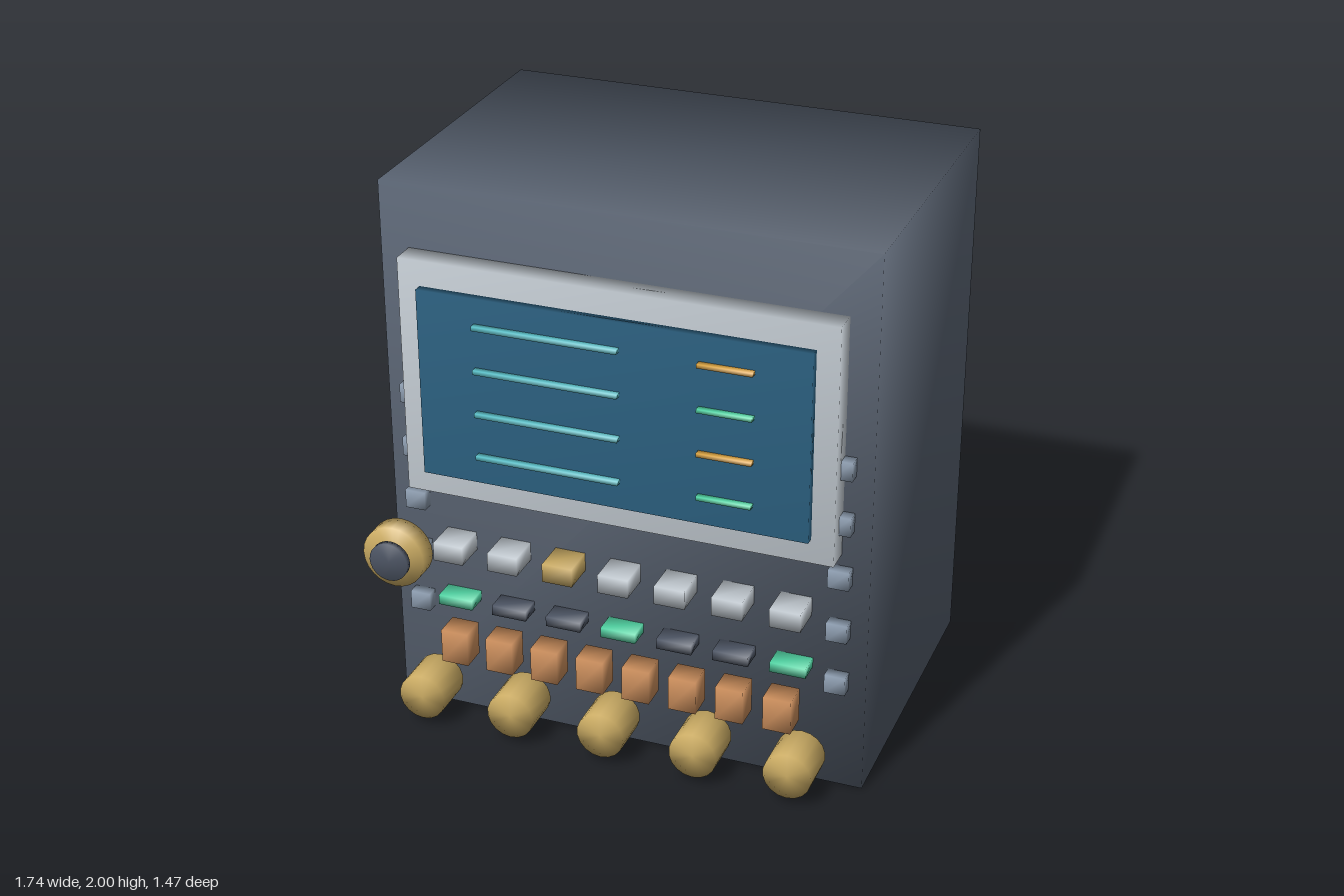
import * as THREE from 'three';
import { mergeVertices } from 'three/addons/utils/BufferGeometryUtils.js';

const paint = (name, color) => {
  const m = new THREE.MeshStandardMaterial({ color });
  m.name = name;
  return m;
};

// Weld corners so shading runs softly across every edge.
function soften(geometry) {
  geometry.deleteAttribute('normal');
  geometry.deleteAttribute('uv');
  const welded = mergeVertices(geometry, 1e-4);
  welded.clearGroups();
  welded.computeVertexNormals();
  return welded;
}

export function createModel() {
  const model = new THREE.Group();
  model.name = 'controlConsole';

  const slate = paint('slate', 0x5a6473);
  const silver = paint('silver', 0xc2cad1);
  const screenBlue = paint('screen blue', 0x2b6080);
  const cyan = paint('cyan', 0x58bcc4);
  const amber = paint('amber', 0xd6a040);
  const green = paint('green', 0x4fd0a0);
  const gold = paint('gold', 0xcbac64);
  const copper = paint('copper', 0xd2935f);
  const steel = paint('steel', 0x8d9db0);
  const charcoal = paint('charcoal', 0x4d5564);

  function add(name, geometry, material, x, y, z) {
    const mesh = new THREE.Mesh(soften(geometry), material);
    mesh.name = name;
    mesh.position.set(x, y, z);
    model.add(mesh);
  }
  // Block centred on (x, y), running from z0 to z1.
  const block = (name, material, x, y, w, h, z0, z1) =>
    add(name, new THREE.BoxGeometry(w, h, z1 - z0), material, x, y, (z0 + z1) / 2);
  // Disc facing the front, running from z0 to z1.
  const dial = (name, material, x, y, r, z0, z1, sides) =>
    add(name, new THREE.CylinderGeometry(r, r, z1 - z0, sides).rotateX(Math.PI / 2),
      material, x, y, (z0 + z1) / 2);

  // Cabinet
  const face = 0.428;
  block('cabinet', slate, 0, 1, 1.737, 2, -0.737, face);

  // Display
  block('screenBezel', silver, 0, 1.342, 1.534, 0.862, face, 0.518);
  block('screen', screenBlue, 0, 1.342, 1.376, 0.682, 0.518, 0.55);
  for (let i = 0; i < 4; i++) {
    const y = 1.587 - i * 0.16;
    block('readoutLine', cyan, -0.224, y, 0.512, 0.016, 0.552, 0.576);
    block('statusLine', i % 2 ? green : amber, 0.402, y, 0.19, 0.014, 0.552, 0.576);
  }

  // Studs down both sides
  for (const side of [-1, 1])
    for (let i = 0; i < 5; i++)
      block('sideStud', steel, side * 0.77, 1.245 - i * 0.205, 0.074, 0.068, face, 0.472);

  // Push buttons with indicator lamps below
  for (let i = 0; i < 7; i++) {
    const x = -0.615 + i * 0.205;
    block('pushButton', i === 2 ? gold : silver, x, 0.691, 0.11, 0.069, face, 0.55);
    block('indicatorLamp', i % 3 ? charcoal : green, x, 0.471, 0.128, 0.037, face, 0.508);
  }

  // Copper keys
  for (let i = 0; i < 8; i++)
    block('copperKey', copper, -0.6 + i * 0.171, 0.317, 0.1, 0.127, 0.465, 0.56);

  // Row of knobs
  for (let i = 0; i < 5; i++)
    dial('knob', gold, -0.714 + i * 0.342, 0.113, 0.087, 0.448, 0.608, 18);

  // Large dial and its cap
  dial('mainDial', gold, -0.748, 0.733, 0.114, 0.625, 0.698, 24);
  dial('mainDialCap', charcoal, -0.748, 0.733, 0.071, 0.714, 0.737, 24);

  return model;
}
